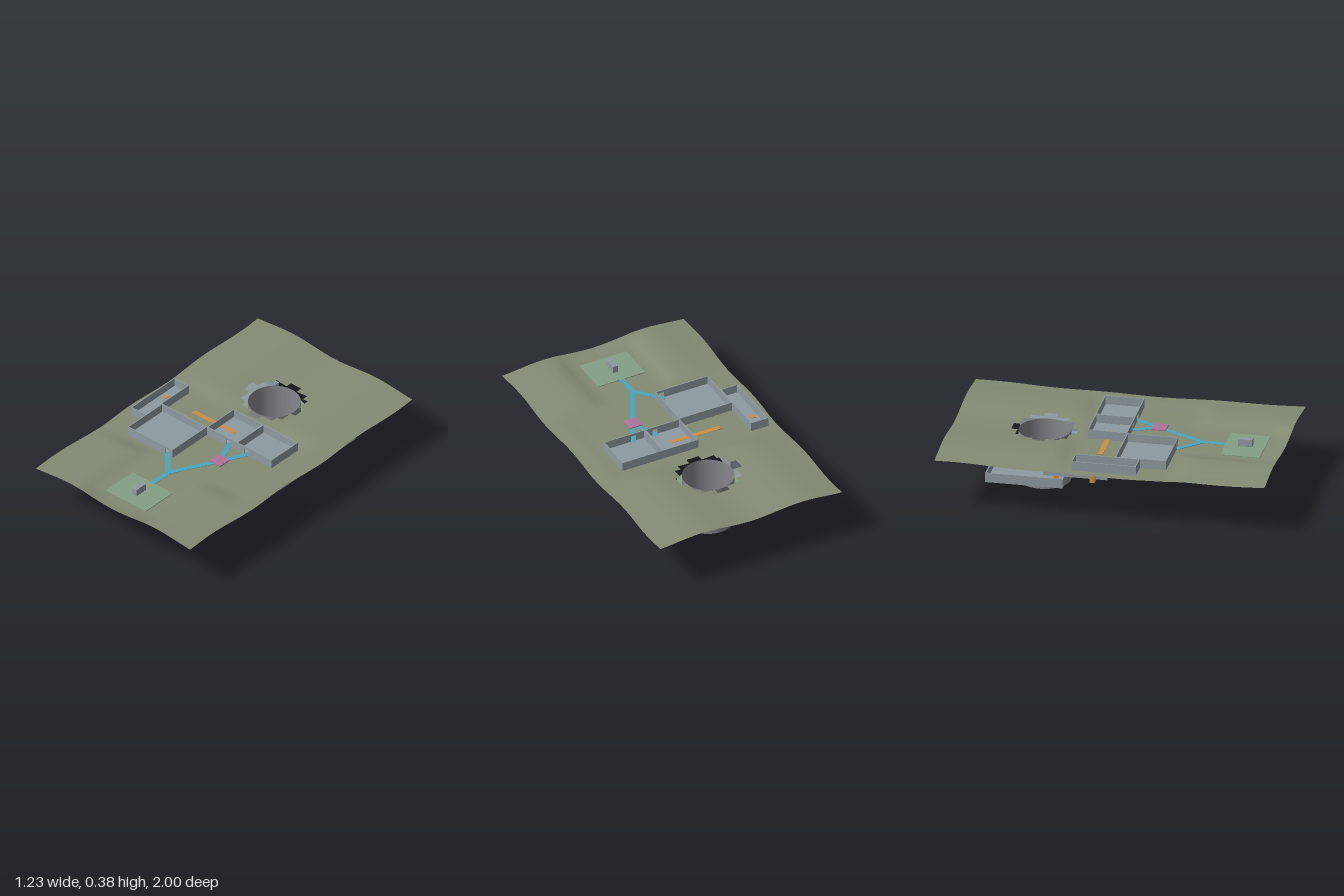
import * as THREE from 'three';

const mat = (color) => new THREE.MeshStandardMaterial({ color, side: THREE.DoubleSide });
const M = {
  ground: mat(0x838b74), wall: mat(0x8f9ba1), shaft: mat(0x85888c), green: mat(0x88a083),
  blue: mat(0x4fa3b8), orange: mat(0xc98f45), brown: mat(0xa06a2c), pink: mat(0xb0739c), pad: mat(0x84a086),
};
const SHAFT_Z = -0.455, SURFACE = 0.322;

function add(parent, name, geo, material, x = 0, y = 0, z = 0) {
  const m = new THREE.Mesh(geo, material);
  m.name = name;
  m.position.set(x, y, z);
  parent.add(m);
  return m;
}

// Height of the rolling ground, levelled where the rooms and paths sit
function groundHeight(x, z) {
  const wave = 0.33 - 0.012 * Math.cos(x * 9.4) + 0.004 * Math.cos(z * Math.PI) * -1 + 0.006 * (z * z) - 0.004 * x;
  const outside = (x0, x1, z0, z1) =>
    Math.hypot(Math.max(x0 - x, 0, x - x1), Math.max(z0 - z, 0, z - z1));
  const d = Math.min(outside(-0.57, 0.45, -0.2, 0.39), outside(-0.18, 0.18, 0.35, 0.9));
  return THREE.MathUtils.lerp(0.317, wave, THREE.MathUtils.smoothstep(d, 0, 0.12));
}

// Ground sheet: a grid of cells, with the cells over the shaft left out
function groundGeometry() {
  const nx = 30, nz = 50, geo = new THREE.PlaneGeometry(1.22, 2, nx, nz).rotateX(-Math.PI / 2);
  const p = geo.attributes.position;
  const index = [];
  for (let i = 0; i < p.count; i++) {
    const z0 = p.getZ(i), x0 = p.getX(i);
    const z = z0 - 0.018 * (1 - z0 * z0);
    const x = x0 + 0.007 * Math.sin((z + 1) * 9.7) * Math.min(1, Math.abs(x0) / 0.5);
    p.setXYZ(i, x, groundHeight(x, z), z);
  }
  for (let r = 0; r < nz; r++) {
    for (let c = 0; c < nx; c++) {
      const cx = (c + 0.5 - nx / 2) * 1.22 / nx, cz = (r + 0.5) * 0.04 - 1 + 0.44;
      if (Math.hypot(cx, cz) < 0.187) continue;
      const a = r * (nx + 1) + c, b = a + nx + 1;
      index.push(a, b, a + 1, b, b + 1, a + 1);
    }
  }
  geo.setIndex(index);
  geo.computeVertexNormals();
  return geo;
}

// Thin wall panel along x from a to b, with doorways centred on the given positions
function wallGeometry(a, b, h, doors) {
  const s = new THREE.Shape();
  s.moveTo(a, 0);
  for (const d of doors) {
    s.lineTo(d - 0.017, 0);
    s.lineTo(d - 0.017, 0.042);
    s.lineTo(d + 0.017, 0.042);
    s.lineTo(d + 0.017, 0);
  }
  s.lineTo(b, 0);
  s.lineTo(b, h);
  s.lineTo(a, h);
  return new THREE.ExtrudeGeometry(s, { depth: 0.006, bevelEnabled: false });
}

// Open-topped room: floor and four walls, doors in the front wall
function room(parent, name, x0, x1, z0, z1, y, h, doors = []) {
  const g = new THREE.Group();
  g.name = name;
  parent.add(g);
  const w = x1 - x0, d = z1 - z0, cx = (x0 + x1) / 2, cz = (z0 + z1) / 2;
  add(g, 'floor', new THREE.BoxGeometry(w, 0.004, d), M.wall, cx, y + 0.002, cz);
  add(g, 'frontWall', wallGeometry(x0, x1, h, doors), M.wall, 0, y, z1 - 0.006);
  add(g, 'backWall', wallGeometry(x0, x1, h, []), M.wall, 0, y, z0);
  for (const [n, x] of [['rightWall', x0 + 0.003], ['leftWall', x1 - 0.003]])
    add(g, n, new THREE.BoxGeometry(0.006, h, d), M.wall, x, y + h / 2, cz);
}

// Flat strip running between two points
function strip(parent, name, from, to, material, width = 0.03) {
  const a = new THREE.Vector3(...from), b = new THREE.Vector3(...to);
  const m = add(parent, name, new THREE.BoxGeometry(width, 0.002, a.distanceTo(b)), material);
  m.position.copy(a).add(b).multiplyScalar(0.5);
  m.lookAt(b);
}

export function createModel() {
  const model = new THREE.Group();
  model.name = 'undergroundSite';

  add(model, 'ground', groundGeometry(), M.ground);

  // Central shaft with a floor and two walkway rings
  const shaft = new THREE.Group();
  shaft.name = 'shaft';
  shaft.position.z = SHAFT_Z;
  model.add(shaft);
  add(shaft, 'shaftWall', new THREE.CylinderGeometry(0.157, 0.157, 0.318, 48, 1, true), M.shaft, 0, 0.159, 0);
  add(shaft, 'shaftFloor', new THREE.CircleGeometry(0.157, 48).rotateX(-Math.PI / 2), M.shaft, 0, 0.001, 0);
  for (const y of [0.157, 0.235])
    add(shaft, 'walkwayRing', new THREE.RingGeometry(0.157, 0.2, 48).rotateX(-Math.PI / 2), M.green, 0, y, 0);

  // Surface rooms
  room(model, 'storeRoom', -0.55, -0.435, -0.18, 0.21, 0.318, 0.057);
  room(model, 'middleRoom', -0.08, 0.155, -0.18, 0.06, 0.318, 0.057, [0.088]);
  room(model, 'leftRoom', 0.155, 0.43, -0.18, 0.06, 0.318, 0.057, [0.233]);
  room(model, 'largeRoom', -0.435, -0.08, 0.06, 0.37, 0.318, 0.057, [-0.12]);

  // Buried rooms on two levels
  room(model, 'upperRightRoom', -0.47, -0.195, -0.37, 0.02, 0.235, 0.06);
  room(model, 'upperLeftRoom', 0.193, 0.468, -0.645, -0.25, 0.235, 0.06);
  room(model, 'lowerRightRoom', -0.47, -0.195, -0.72, -0.25, 0.157, 0.06);
  room(model, 'lowerLeftRoom', 0.193, 0.468, -0.65, 0.02, 0.157, 0.06);

  // Surface paths and their crossing
  const s = SURFACE;
  const paths = [
    [0, 0.65, 0, 0.5], [0, 0.5, -0.14, 0.35], [0, 0.5, 0.155, 0.21],
    [0.155, 0.21, 0.08, 0.04], [0.155, 0.21, 0.241, 0.04],
  ];
  for (const [x0, z0, x1, z1] of paths) strip(model, 'path', [x0, s, z0], [x1, s, z1], M.blue, 0.034);
  add(model, 'crossing', new THREE.BoxGeometry(0.085, 0.008, 0.085), M.pink, 0.153, 0.324, 0.212);

  // Entrance pad with its small hut
  add(model, 'entrancePad', new THREE.BoxGeometry(0.315, 0.004, 0.24), M.pad, 0, 0.321, 0.76);
  add(model, 'hut', new THREE.BoxGeometry(0.036, 0.045, 0.085), M.wall, 0, 0.345, 0.762);

  // Vertical wells and ramps joining the levels
  add(model, 'storeWell', new THREE.BoxGeometry(0.03, 0.091, 0.03), M.orange, -0.51, 0.2805, -0.06);
  add(model, 'wellPassage', new THREE.BoxGeometry(0.08, 0.002, 0.03), M.brown, -0.48, 0.236, -0.06);
  add(model, 'pathWell', new THREE.BoxGeometry(0.03, 0.081, 0.03), M.brown, -0.275, 0.2775, -0.06);
  strip(model, 'wellPath', [0.04, 0.323, -0.06], [-0.29, 0.319, -0.06], M.orange);
  strip(model, 'leftUpperRamp', [0.39, 0.32, -0.06], [0.39, 0.24, -0.32], M.brown);
  strip(model, 'leftLowerRamp', [0.428, 0.237, -0.45], [0.428, 0.16, -0.22], M.orange);
  strip(model, 'rightLowerRamp', [-0.24, 0.236, -0.31], [-0.4, 0.16, -0.31], M.brown);

  return model;
}
